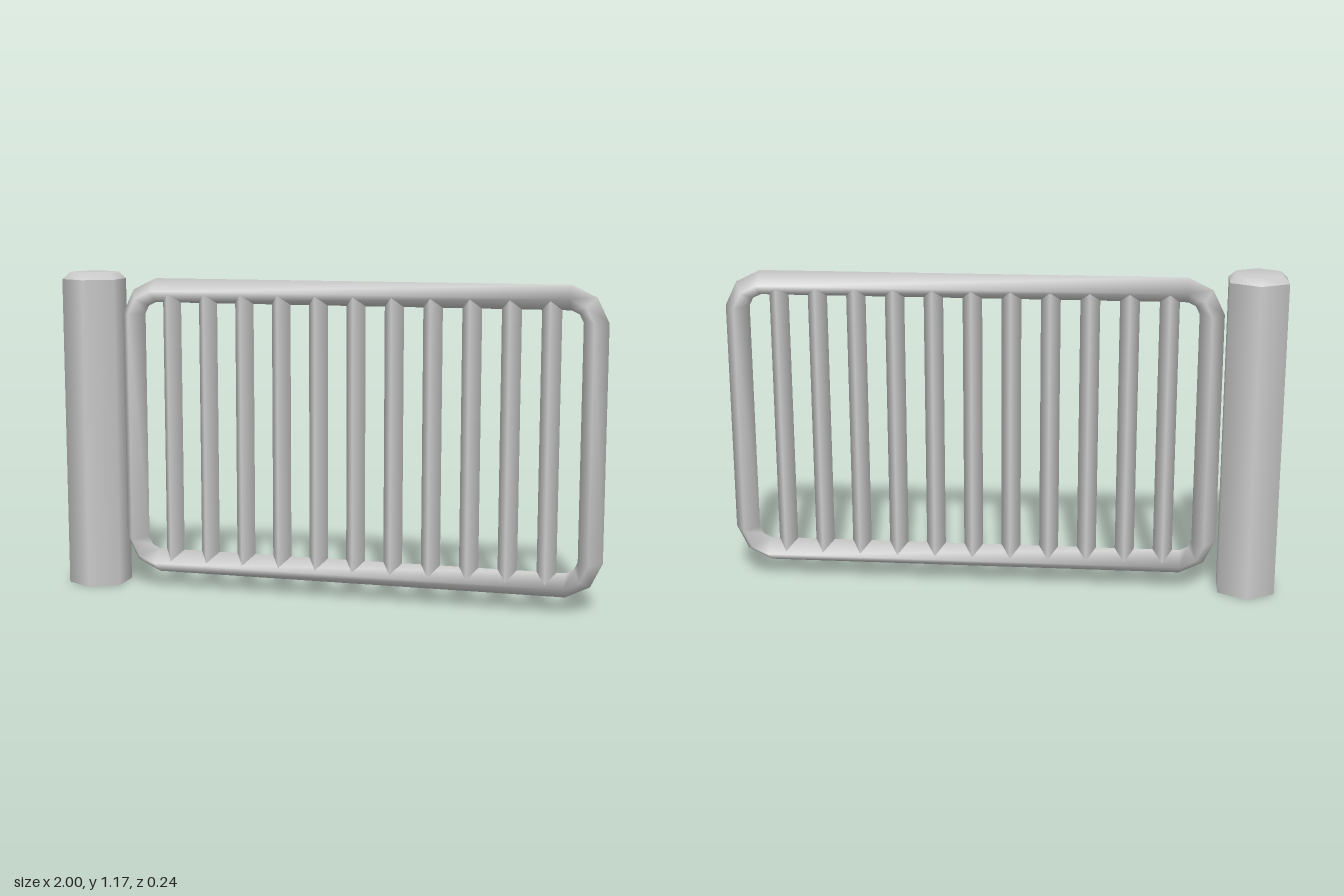
import * as THREE from 'three';

const material = new THREE.MeshStandardMaterial({ color: 0xcccccc, side: THREE.DoubleSide });

function addMesh(parent, name, geometry, x = 0, y = 0, z = 0) {
  const mesh = new THREE.Mesh(geometry, material);
  mesh.name = name;
  mesh.position.set(x, y, z);
  parent.add(mesh);
  return mesh;
}

// Closed rounded-rectangle rail with a diamond cross-section
function frameGeometry() {
  const left = -0.655, right = 0.87, bottom = 0.18, top = 1.025;
  const corners = [[right, top], [left, top], [left, bottom], [right, bottom]];
  const section = [[0.13, 0], [0.085, 0.07], [0.042, 0], [0.085, -0.07]]; // radius, z
  const positions = [], index = [];
  corners.forEach(([cx, cy], c) => {
    for (let k = 0; k < 3; k++) {
      const a = (c + k / 2) * Math.PI / 2;
      const bend = k === 1 ? 0.95 : 1;
      for (const [r, z] of section) {
        positions.push(cx + Math.cos(a) * r * bend, cy + Math.sin(a) * r * bend, z);
      }
    }
  });
  const rings = 12, sides = section.length;
  for (let i = 0; i < rings; i++) {
    for (let j = 0; j < sides; j++) {
      const n = (i + 1) % rings, m = (j + 1) % sides;
      const a = i * sides + j, b = n * sides + j, c = n * sides + m, d = i * sides + m;
      index.push(a, b, c, a, c, d);
    }
  }
  const geometry = new THREE.BufferGeometry();
  geometry.setAttribute('position', new THREE.Float32BufferAttribute(positions, 3));
  geometry.setIndex(index);
  geometry.computeVertexNormals();
  return geometry;
}

export function createModel() {
  const model = new THREE.Group();
  model.name = 'fenceSection';

  // Hexagonal post, open underneath, with a bevelled top
  const post = new THREE.Group();
  post.name = 'post';
  post.position.x = -0.898;
  model.add(post);
  addMesh(post, 'postShaft', new THREE.CylinderGeometry(0.118, 0.118, 1.15, 6, 1, true), 0, 0.575);
  const cap = [[0.118, 1.15], [0.09, 1.175], [0, 1.175]].map(([r, y]) => new THREE.Vector2(r, y));
  addMesh(post, 'postCap', new THREE.LatheGeometry(cap, 6));

  // Outer rail
  addMesh(model, 'frame', frameGeometry());

  // Upright bars with a diamond section, running into the rails
  const bars = new THREE.Group();
  bars.name = 'bars';
  model.add(bars);
  const barGeometry = new THREE.CylinderGeometry(1, 1, 1.01, 4, 1, true);
  barGeometry.scale(0.035, 1, 0.056);
  barGeometry.computeVertexNormals();
  // Smooth the normals around each bar, seam included
  const p = barGeometry.attributes.position, n = barGeometry.attributes.normal;
  for (let i = 0; i < p.count; i++) {
    const v = new THREE.Vector3(p.getX(i), 0, p.getZ(i)).normalize();
    n.setXYZ(i, v.x, 0, v.z);
  }
  for (let i = 0; i < 11; i++) {
    addMesh(bars, 'bar', barGeometry, -0.592 + i * 0.1395, 0.6025);
  }

  return model;
}
